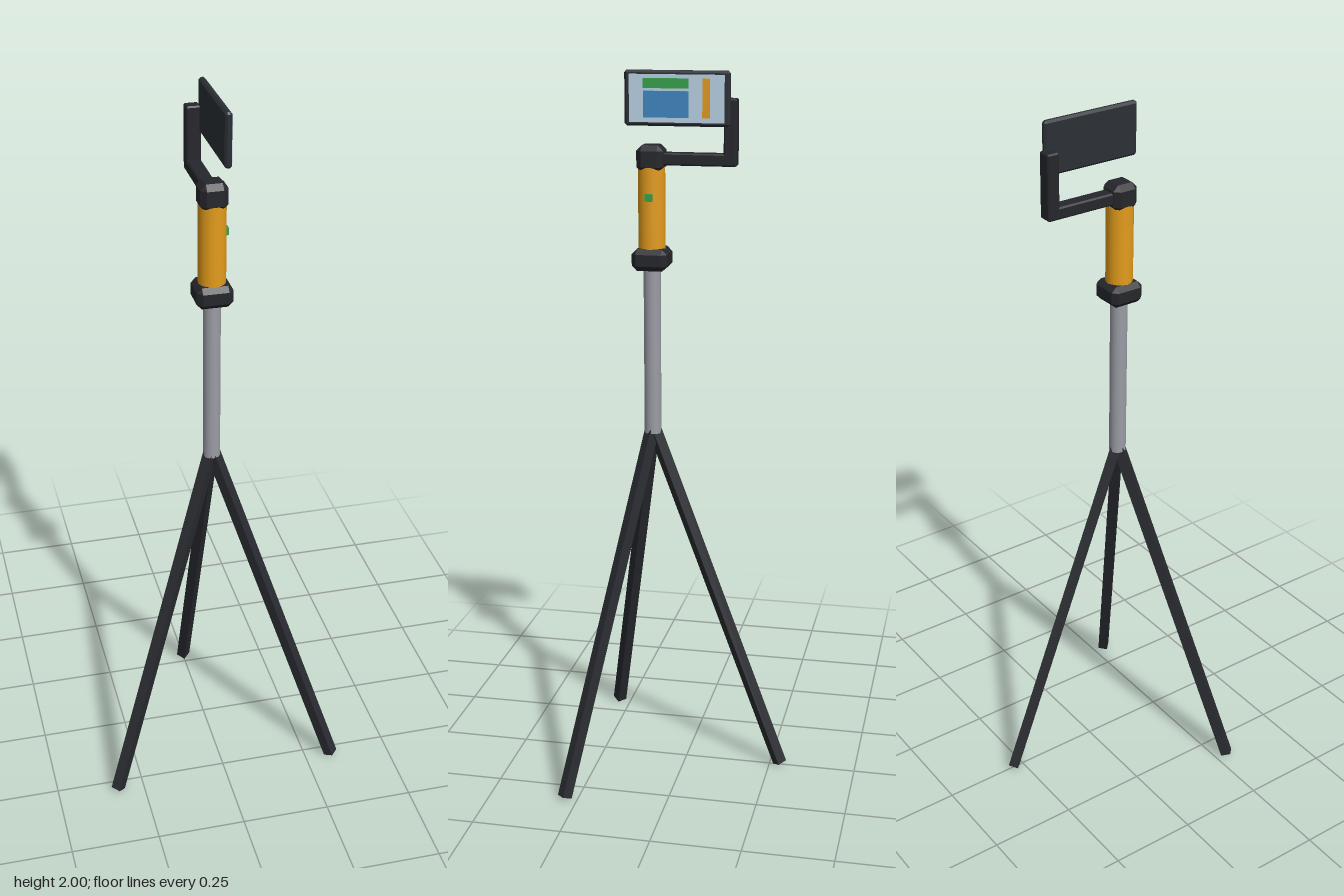
import * as THREE from 'three';
import { ConvexGeometry } from 'three/addons/geometries/ConvexGeometry.js';

const AXIS_Z = 0.097; // depth of the pole axis

const mat = (color, flatShading = false) => {
  const m = new THREE.MeshStandardMaterial({ color });
  m.flatShading = flatShading;
  return m;
};
const dark = mat(0x26272c, true);
const legDark = mat(0x292b30, true);
const caseDark = mat(0x2b3035, true);
const metal = mat(0x9b9da5);
const orange = mat(0xe39c1c);
const glass = mat(0xb9d3e6);
const blue = mat(0x3f88c2);
const green = mat(0x36a24c);

export function createModel() {
  const model = new THREE.Group();
  model.name = 'tripodWithScreen';

  const add = (name, geometry, material, x, y, z) => {
    const mesh = new THREE.Mesh(geometry, material);
    mesh.name = name;
    mesh.position.set(x, y, z);
    model.add(mesh);
    return mesh;
  };

  // box given by its extents
  const box = (name, material, [x0, x1], [y0, y1], [z0, z1]) =>
    add(name, new THREE.BoxGeometry(x1 - x0, y1 - y0, z1 - z0), material,
      (x0 + x1) / 2, (y0 + y1) / 2, (z0 + z1) / 2);

  // box given by its extents, with every edge cut off by c
  const chamferBox = (name, material, [x0, x1], [y0, y1], [z0, z1], c) => {
    const h = [(x1 - x0) / 2, (y1 - y0) / 2, (z1 - z0) / 2];
    const points = [];
    for (const sx of [-1, 1]) for (const sy of [-1, 1]) for (const sz of [-1, 1])
      for (let full = 0; full < 3; full++) {
        const r = h.map((v, i) => (i === full ? v : v - c));
        points.push(new THREE.Vector3(sx * r[0], sy * r[1], sz * r[2]));
      }
    return add(name, new ConvexGeometry(points), material,
      (x0 + x1) / 2, (y0 + y1) / 2, (z0 + z1) / 2);
  };

  // three square-section legs meeting at the foot of the pole
  const top = new THREE.Vector3(0, 1.02, AXIS_Z);
  const up = new THREE.Vector3(0, 1, 0);
  ['leftLeg', 'rightLeg', 'backLeg'].forEach((name, i) => {
    const a = [Math.PI / 3, -Math.PI / 3, Math.PI][i];
    const foot = new THREE.Vector3(0.377 * Math.sin(a), 0.007, AXIS_Z + 0.377 * Math.cos(a));
    const dir = top.clone().sub(foot);
    const mid = top.clone().add(foot).multiplyScalar(0.5);
    const leg = add(name, new THREE.CylinderGeometry(0.0205, 0.0205, dir.length(), 4),
      legDark, mid.x, mid.y, mid.z);
    leg.quaternion.setFromUnitVectors(up, dir.normalize());
  });

  // pole, collar, grip and head
  add('pole', new THREE.CylinderGeometry(0.024, 0.024, 0.48, 16), metal, 0, 1.24, AXIS_Z);
  chamferBox('collar', dark, [-0.049, 0.049], [1.465, 1.525], [AXIS_Z - 0.049, AXIS_Z + 0.049], 0.014);
  add('grip', new THREE.CylinderGeometry(0.037, 0.037, 0.23, 20), orange, 0, 1.63, AXIS_Z);
  box('gripButton', green, [0.03, 0.042], [1.655, 1.675], [AXIS_Z - 0.01, AXIS_Z + 0.01]);
  chamferBox('head', dark, [-0.037, 0.037], [1.73, 1.803], [AXIS_Z - 0.037, AXIS_Z + 0.037], 0.015);

  // L-shaped arm
  chamferBox('armBar', dark, [-0.02, 0.02], [1.75, 1.783], [-0.138, 0.08], 0.004);
  chamferBox('armUpright', dark, [-0.02, 0.02], [1.75, 1.928], [-0.138, -0.103], 0.004);

  // display with its coloured tiles
  chamferBox('displayCase', caseDark, [0.016, 0.035], [1.855, 2], [-0.122, 0.163], 0.006);
  box('screen', glass, [0.03, 0.038], [1.865, 1.99], [-0.108, 0.149]);
  box('screenBluePanel', blue, [0.034, 0.042], [1.878, 1.947], [-0.012, 0.11]);
  box('screenGreenBar', green, [0.034, 0.042], [1.954, 1.98], [-0.012, 0.11]);
  box('screenOrangeBar', orange, [0.034, 0.043], [1.878, 1.98], [-0.07, -0.05]);

  return model;
}
